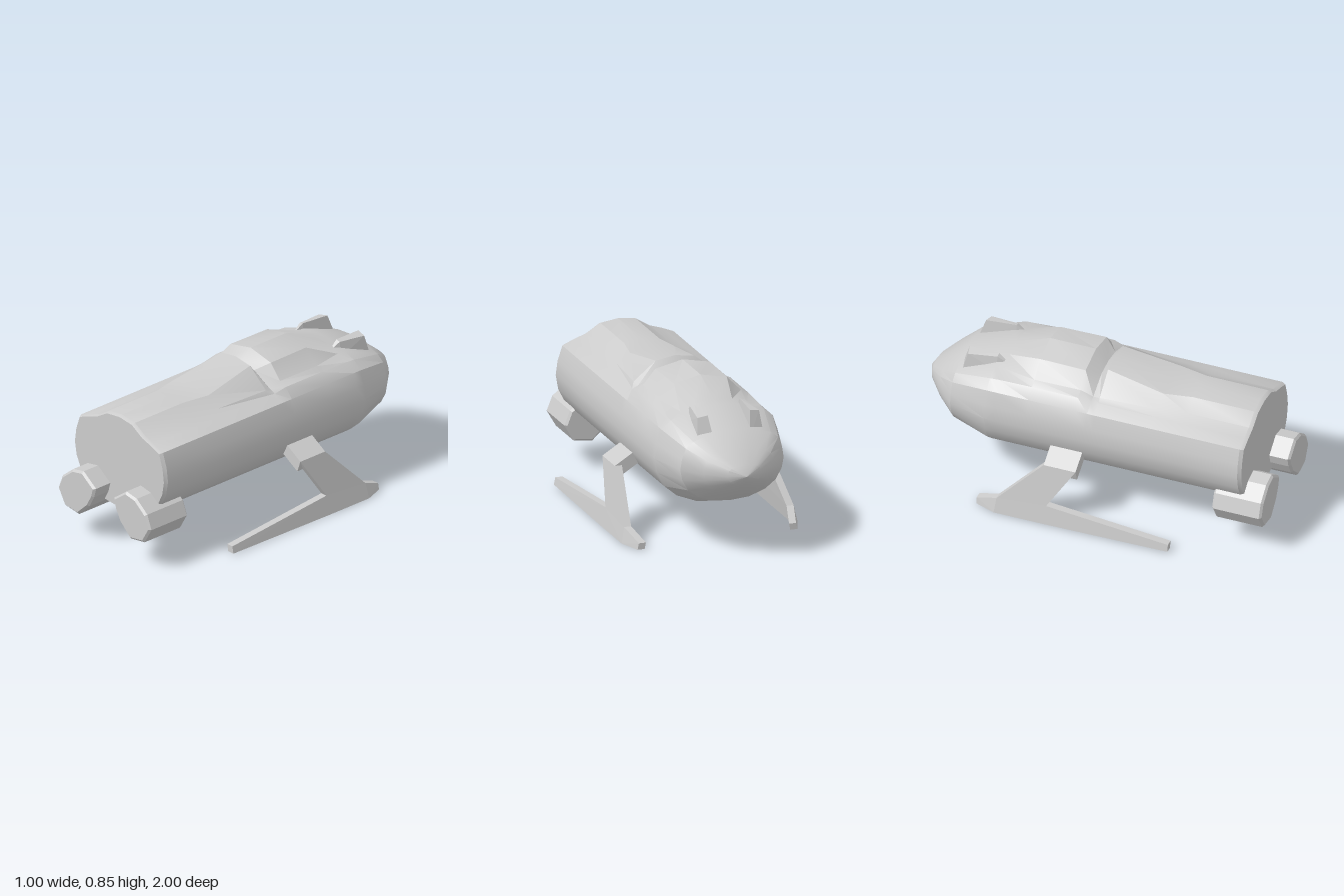
import * as THREE from 'three';
import { toCreasedNormals } from 'three/addons/utils/BufferGeometryUtils.js';
import { ConvexGeometry } from 'three/addons/geometries/ConvexGeometry.js';

const material = new THREE.MeshStandardMaterial({ color: 0xcccccc });

// Half of the hull's lower cross-section, from keel to shoulder
const LOWER = [[0, 0.22], [0.12, 0.23], [0.23, 0.275], [0.3, 0.335], [0.34, 0.415], [0.354, 0.495], [0.343, 0.575], [0.316, 0.655]];

// Deck half-sections along z: four points from shoulder to centreline
const REAR = [[0.25, 0.682], [0.18, 0.705], [0.1, 0.755], [0, 0.768]];
const DECK = [
  [0.865, REAR],
  [0.52, REAR],
  [0.36, [[0.25, 0.685], [0.205, 0.705], [0.13, 0.757], [0, 0.768]]],
  [0.04, [[0.25, 0.69], [0.235, 0.715], [0.11, 0.815], [0, 0.832]]],
  [0.0, [[0.26, 0.69], [0.225, 0.705], [0.1, 0.772], [0, 0.785]]],
  [-0.07, [[0.27, 0.71], [0.225, 0.73], [0.155, 0.812], [0, 0.845]]],
  [-0.33, [[0.27, 0.71], [0.23, 0.73], [0.15, 0.812], [0, 0.845]]],
  [-0.52, [[0.265, 0.703], [0.19, 0.725], [0.105, 0.758], [0, 0.77]]],
  [-0.57, [[0.265, 0.7], [0.19, 0.725], [0.1, 0.75], [0, 0.758]]],
];
const CENTER_Y = 0.49;

function ring(z, top, sx = 1, sy = 1) {
  const half = [...LOWER, ...top];
  const mirrored = half.slice(1, -1).reverse().map(([x, y]) => [-x, y]);
  return [...half, ...mirrored].map(([x, y]) => [x * sx, CENTER_Y + (y - CENTER_Y) * sy, z]);
}

// Skins the rings from front to back and closes both ends with fans
function loft(rings, frontZ, backZ) {
  const n = rings[0].length;
  const positions = rings.flat(2);
  const index = [];
  for (let i = 0; i < rings.length - 1; i++) {
    for (let j = 0; j < n; j++) {
      const a = i * n + j, b = i * n + ((j + 1) % n);
      index.push(a, a + n, b, b, a + n, b + n);
    }
  }
  const front = rings.length * n, back = front + 1, last = (rings.length - 1) * n;
  positions.push(0, CENTER_Y, frontZ, 0, CENTER_Y, backZ);
  for (let j = 0; j < n; j++) {
    const k = (j + 1) % n;
    index.push(front, j, k, back, last + k, last + j);
  }
  const geo = new THREE.BufferGeometry();
  geo.setAttribute('position', new THREE.Float32BufferAttribute(positions, 3));
  geo.setIndex(index);
  return toCreasedNormals(geo, 0.42);
}

function prism(points, depth, z, bevel = 0) {
  const shape = new THREE.Shape(points.map(([x, y]) => new THREE.Vector2(x, y)));
  const geo = new THREE.ExtrudeGeometry(shape, {
    depth: depth - 2 * bevel, bevelEnabled: bevel > 0,
    bevelThickness: bevel, bevelSize: bevel, bevelOffset: -bevel, bevelSegments: 1,
  });
  return geo.translate(0, 0, z + bevel);
}

// Reflects a geometry in x and restores its winding
function reflect(source) {
  const geo = source.index ? source.toNonIndexed() : source.clone();
  const p = geo.attributes.position;
  for (let i = 0; i < p.count; i += 3) {
    const v = [0, 2, 1].map((k) => new THREE.Vector3().fromBufferAttribute(p, i + k));
    v.forEach((q, k) => p.setXYZ(i + k, -q.x, q.y, q.z));
  }
  geo.computeVertexNormals();
  return geo;
}

export function createModel() {
  const group = new THREE.Group();
  const add = (name, geo) => {
    const mesh = new THREE.Mesh(geo, material);
    mesh.name = name;
    group.add(mesh);
  };
  const addPair = (name, geo) => {
    add('left' + name, geo);
    add('right' + name, reflect(geo));
  };

  // Hull with raised deck, canopy and pointed nose
  const noseTop = DECK[DECK.length - 1][1];
  const nose = [[-0.785, 0.83, 0.735], [-0.885, 0.57, 0.44], [-0.965, 0.27, 0.2]];
  add('hull', loft([
    ring(0.885, REAR, 0.97, 0.97),
    ...DECK.map(([z, top]) => ring(z, top)),
    ...nose.map(([z, sx, sy]) => ring(z, noseTop, sx, sy)),
  ], 0.885, -1));

  // Engine pods
  addPair('Engine', prism([
    [0.165, 0.415], [0.07, 0.345], [0.085, 0.29], [0.12, 0.225], [0.2, 0.15],
    [0.305, 0.165], [0.357, 0.255], [0.325, 0.335], [0.245, 0.4],
  ], 0.28, 0.72, 0.012));

  // Hips joining the legs to the hull
  addPair('Hip', prism([[0.28, 0.44], [0.436, 0.345], [0.412, 0.28], [0.28, 0.36]], 0.18, -0.2));

  // Landing legs with skids: side outline as [z, y], leaning outward to the ground
  const outline = [
    [-0.02, 0.345], [-0.17, 0.11], [0.525, 0.05], [0.525, 0.01], [-0.17, 0.003],
    [-0.46, 0.003], [-0.575, 0], [-0.575, 0.035], [-0.45, 0.09], [-0.2, 0.345],
  ];
  const leg = prism(outline.map(([z, y]) => [-z, y]), 0.04, -0.04).rotateY(Math.PI / 2);
  const p = leg.attributes.position;
  for (let i = 0; i < p.count; i++) {
    const y = p.getY(i), z = p.getZ(i);
    const lean = 0.5 - Math.min(y, 0.1) * 0.2 - Math.max(y - 0.1, 0) * 0.18;
    const toe = Math.max(-0.46 - z, 0) * 0.4;
    p.setX(i, p.getX(i) + lean - toe);
  }
  leg.computeVertexNormals();
  addPair('Leg', leg);

  // Wedge fins ahead of the canopy
  addPair('Fin', new ConvexGeometry([
    [0.1, 0.62, -0.79], [0.19, 0.62, -0.765], [0.12, 0.68, -0.57], [0.17, 0.68, -0.57],
    [0.12, 0.765, -0.74], [0.175, 0.755, -0.73], [0.13, 0.772, -0.57], [0.155, 0.765, -0.57],
    [0.14, 0.72, -0.5],
  ].map((v) => new THREE.Vector3(...v))));

  return group;
}
